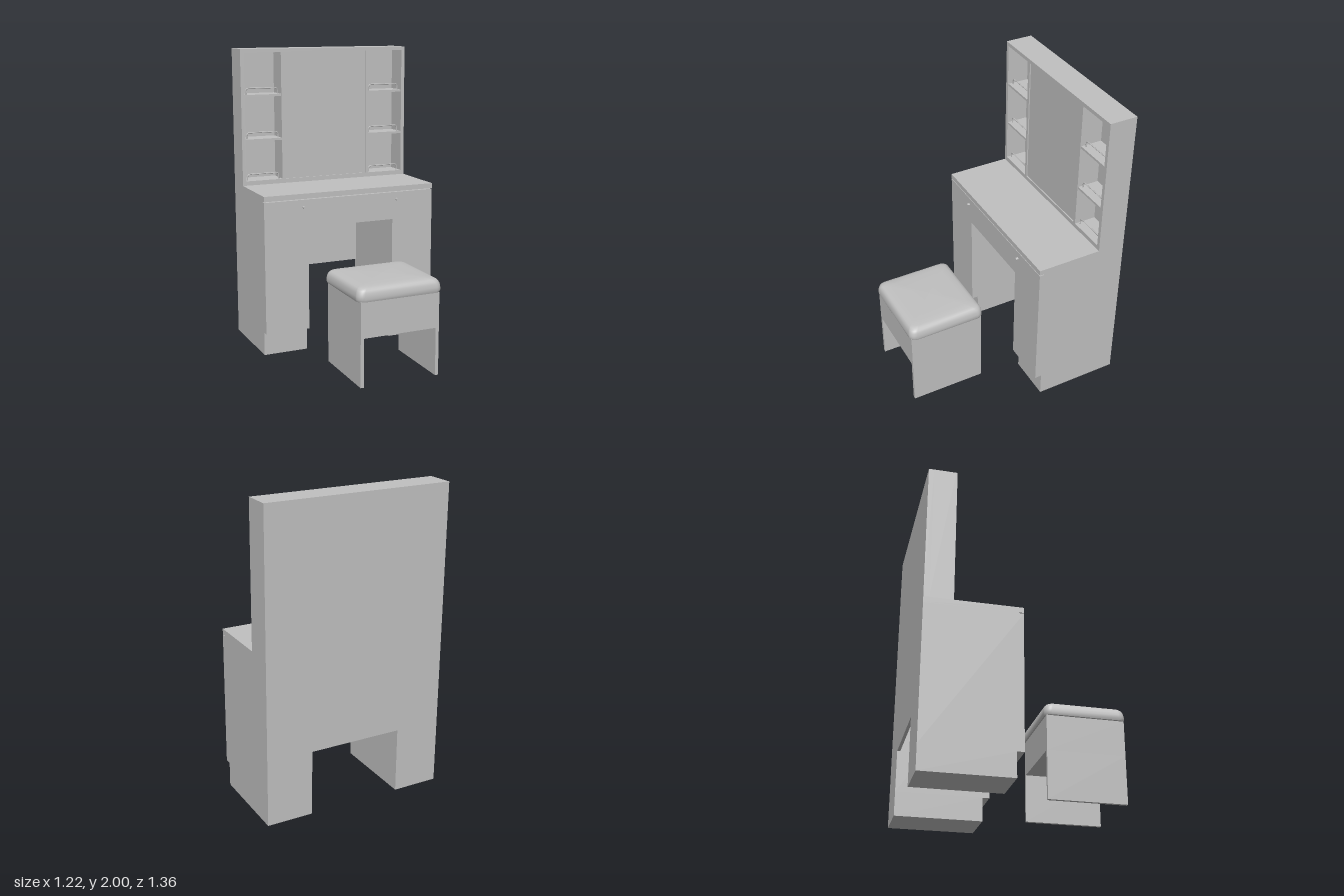
import * as THREE from 'three';

const grey = new THREE.MeshStandardMaterial({ color: 0xc0c0c0 });
grey.name = 'light grey';

function add(group, name, geometry) {
  const mesh = new THREE.Mesh(geometry, grey);
  mesh.name = name;
  group.add(mesh);
  return mesh;
}

// Box given by its limits on each axis
function box(group, name, x0, x1, y0, y1, z0, z1) {
  const mesh = add(group, name, new THREE.BoxGeometry(x1 - x0, y1 - y0, z1 - z0));
  mesh.position.set((x0 + x1) / 2, (y0 + y1) / 2, (z0 + z1) / 2);
  return mesh;
}

// Box on one side of the model, side = 1 or -1
function sideBox(group, name, side, x0, x1, ...rest) {
  return side > 0 ? box(group, name, x0, x1, ...rest) : box(group, name, -x1, -x0, ...rest);
}

function trace(path, x0, x1, y0, y1) {
  path.moveTo(x0, y0);
  path.lineTo(x1, y0);
  path.lineTo(x1, y1);
  path.lineTo(x0, y1);
  path.closePath();
  return path;
}

// Upright frame with rectangular openings, from z0 to z1
function frame(group, name, holes, z0, z1) {
  const shape = trace(new THREE.Shape(), -0.612, 0.612, 1.08, 2);
  for (const [a, b] of holes) shape.holes.push(trace(new THREE.Path(), a, b, 1.11, 1.975));
  const geometry = new THREE.ExtrudeGeometry(shape, { depth: z1 - z0, bevelEnabled: false });
  geometry.translate(0, 0, z0);
  return add(group, name, geometry);
}

// Arched guard rail standing at the front of a shelf
function rail(group, x0, x1, y, z) {
  const r = 0.022, top = y + 0.042;
  const p = (x, h) => new THREE.Vector3(x, h, z);
  const path = new THREE.CurvePath();
  path.add(new THREE.LineCurve3(p(x0, y), p(x0, top - r)));
  path.add(new THREE.QuadraticBezierCurve3(p(x0, top - r), p(x0, top), p(x0 + r, top)));
  path.add(new THREE.LineCurve3(p(x0 + r, top), p(x1 - r, top)));
  path.add(new THREE.QuadraticBezierCurve3(p(x1 - r, top), p(x1, top), p(x1, top - r)));
  path.add(new THREE.LineCurve3(p(x1, top - r), p(x1, y)));
  add(group, 'shelfRail', new THREE.TubeGeometry(path, 60, 0.004, 8));
}

// Padded cushion: rounded rectangles stacked by [height, scale]
function cushionGeometry(hx, hz, radius) {
  const profile = [
    [0.54, 0], [0.54, 0.98], [0.54, 0.98], [0.555, 1], [0.575, 0.995], [0.593, 0.983],
    [0.608, 0.96], [0.619, 0.92], [0.626, 0.85], [0.63, 0.7], [0.633, 0.4], [0.635, 0],
  ];
  const positions = [], index = [], steps = 8, n = 4 * (steps + 1);
  for (const [y, s] of profile) {
    for (let c = 0; c < 4; c++) {
      const sx = c === 0 || c === 3 ? 1 : -1, sz = c < 2 ? 1 : -1;
      for (let i = 0; i <= steps; i++) {
        const a = (c + i / steps) * Math.PI / 2;
        positions.push(
          s * (sx * (hx - radius) + radius * Math.cos(a)), y,
          s * (sz * (hz - radius) + radius * Math.sin(a)));
      }
    }
  }
  for (let j = 0; j < profile.length - 1; j++) {
    if (j === 1) continue; // keep the lower edge sharp
    for (let i = 0; i < n; i++) {
      const k = (i + 1) % n, a = j * n + i, b = j * n + k;
      index.push(a, a + n, b, b, a + n, b + n);
    }
  }
  const geometry = new THREE.BufferGeometry();
  geometry.setAttribute('position', new THREE.Float32BufferAttribute(positions, 3));
  geometry.setIndex(index);
  geometry.computeVertexNormals();
  return geometry;
}

export function createModel() {
  const model = new THREE.Group();
  model.name = 'dressingTableAndStool';
  const back = -0.68, front = -0.065;

  // Desk with two cupboards, a drawer and an open knee space
  const desk = new THREE.Group();
  desk.name = 'desk';
  model.add(desk);
  box(desk, 'deskTop', -0.612, 0.612, 1.045, 1.08, back, front);
  box(desk, 'shadowGap', -0.612, 0.612, 1.04, 1.045, back, front - 0.03);
  box(desk, 'drawer', -0.308, 0.308, 0.853, 1.04, back, front);
  box(desk, 'kneeBackPanel', -0.308, 0.308, 0.43, 0.853, back, back + 0.02);
  for (const side of [-1, 1]) {
    sideBox(desk, 'cupboard', side, 0.308, 0.612, 0.157, 1.04, back, front);
    sideBox(desk, 'plinth', side, 0.308, 0.612, 0, 0.157, back, -0.11);
    const knob = add(desk, 'doorKnob', new THREE.CylinderGeometry(0.009, 0.009, 0.018, 20));
    knob.rotation.x = Math.PI / 2;
    knob.position.set(side * 0.339, 0.99, front + 0.008);
  }

  // Upper unit: mirror in the middle, shelf niche on each side
  const upper = new THREE.Group();
  upper.name = 'mirrorUnit';
  model.add(upper);
  const niches = [[-0.587, -0.326], [0.326, 0.587]];
  box(upper, 'backPanel', -0.612, 0.612, 1.08, 2, back, -0.645);
  frame(upper, 'mirrorAndNicheWalls', niches, -0.645, -0.503);
  frame(upper, 'frontFrame', [...niches, [-0.305, 0.305]], -0.503, -0.495);
  for (const [x0, x1] of niches) {
    for (const y of [1.11, 1.395, 1.695]) {
      if (y > 1.2) box(upper, 'shelf', x0, x1, y - 0.015, y, -0.645, -0.5);
      rail(upper, x0 + 0.018, x1 - 0.018, y, -0.525);
    }
  }

  // Stool with slab legs and a padded seat
  const stool = new THREE.Group();
  stool.name = 'stool';
  model.add(stool);
  box(stool, 'stoolBox', -0.268, 0.268, 0.312, 0.54, 0.165, 0.67);
  for (const side of [-1, 1]) {
    sideBox(stool, 'stoolLeg', side, 0.246, 0.268, 0, 0.312, 0.165, 0.67);
  }
  add(stool, 'cushion', cushionGeometry(0.288, 0.264, 0.045)).position.z = 0.416;

  return model;
}
